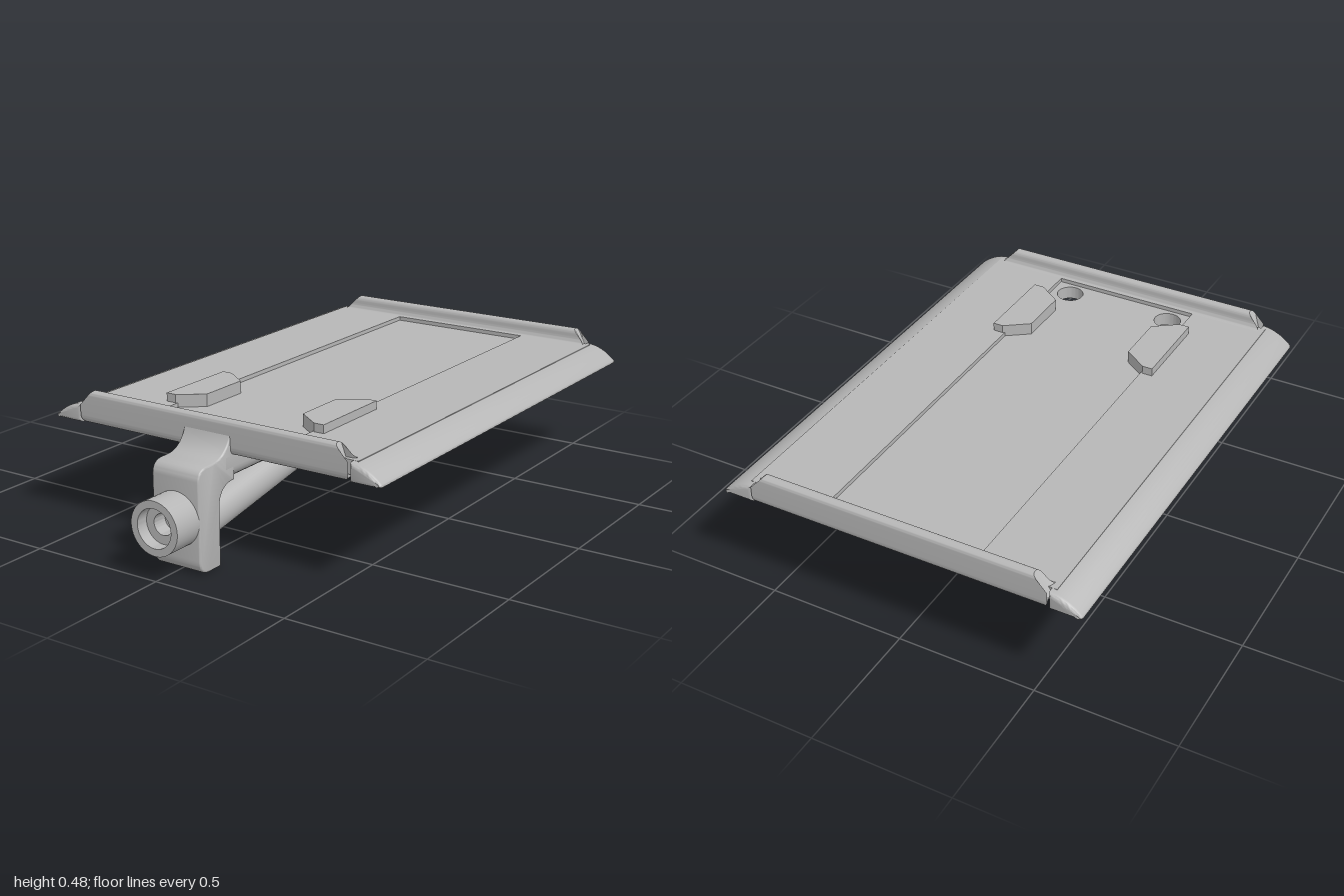
import * as THREE from 'three';
import { toCreasedNormals } from 'three/addons/utils/BufferGeometryUtils.js';

export function createModel() {
  const model = new THREE.Group();
  const grey = new THREE.MeshStandardMaterial({ color: 0xb6b6b6 });

  function add(name, geometry, parent = model) {
    const mesh = new THREE.Mesh(toCreasedNormals(geometry, 0.6), grey);
    mesh.name = name;
    parent.add(mesh);
    return mesh;
  }
  // Outline in plan (x, -z), raised from y0 to y1
  function slab(shape, y0, y1, bevel = 0) {
    const g = new THREE.ExtrudeGeometry(shape, {
      depth: y1 - y0 - 2 * bevel, curveSegments: 24, bevelEnabled: bevel > 0,
      bevelSize: bevel, bevelThickness: bevel, bevelOffset: -bevel, bevelSegments: 6,
    });
    return g.rotateX(-Math.PI / 2).translate(0, y0 + bevel, 0);
  }
  // Side profile (z, y), extruded across x and centred
  function across(shape, width, bevel = 0) {
    const g = new THREE.ExtrudeGeometry(shape, {
      depth: width - 2 * bevel, curveSegments: 12, bevelEnabled: bevel > 0,
      bevelSize: bevel, bevelThickness: bevel, bevelOffset: -bevel, bevelSegments: 3,
    });
    return g.translate(0, 0, -width / 2 + bevel).rotateY(-Math.PI / 2);
  }
  const polygon = (points) => new THREE.Shape(points.map(([x, z]) => new THREE.Vector2(x, -z)));

  // Recessed centre panel with two through holes
  const centre = polygon([[-0.285, 0.69], [0.285, 0.69], [0.285, -0.97], [-0.285, -0.97]]);
  for (const s of [-1, 1]) {
    centre.holes.push(new THREE.Path().absarc(s * 0.207, -0.595, 0.05, 0, Math.PI * 2, true));
  }
  add('centrePanel', slab(centre, 0.36, 0.41));

  // Side panels, curved edge wings and retaining clips
  for (const s of [-1, 1]) {
    const side = new THREE.Group();
    side.name = s > 0 ? 'leftSide' : 'rightSide';
    model.add(side);

    const panel = new THREE.BoxGeometry(0.285, 0.05, 1.66);
    add('sidePanel', panel.translate(s * 0.4225, 0.4, -0.14), side);

    const p = new THREE.Shape();
    p.moveTo(s * 0.548, 0.36);
    p.lineTo(s * 0.65, 0.36);
    p.quadraticCurveTo(s * 0.668, 0.36, s * 0.66, 0.372);
    p.quadraticCurveTo(s * 0.61, 0.42, s * 0.548, 0.425);
    p.closePath();
    const wing = new THREE.ExtrudeGeometry(p, {
      depth: 1.69, curveSegments: 10, bevelSize: 0.014, bevelThickness: 0.014,
      bevelOffset: -0.014, bevelSegments: 3,
    });
    // Only the ends are rounded; the middle keeps its full profile
    add('edgeWing', wing.translate(0, 0, -0.985), side);

    const clip = polygon([[0.325, 0.525], [0.325, 0.205], [0.287, 0.205],
      [0.2, 0.268], [0.2, 0.462], [0.287, 0.525]].map(([x, z]) => [s * x, z]));
    add('retainingClip', slab(clip, 0.405, 0.455), side);
  }

  // Raised end lips with sloping ends and rounded bottom corners
  const halfWidth = (y) => {
    if (y > 0.425) return 0.546 - (y - 0.425) * 0.95;
    if (y < 0.39) return 0.546 - 0.025 * (1 - Math.sqrt(Math.max(0, 1 - ((0.39 - y) / 0.03) ** 2)));
    return 0.546;
  };
  for (const front of [true, false]) {
    const outer = front ? 0.72 : -1;
    const z = (d) => (front ? outer - d : outer + d);
    const p = new THREE.Shape();
    p.moveTo(z(0.06), 0.36);
    p.lineTo(z(0.03), 0.36);
    p.quadraticCurveTo(z(0), 0.36, z(0), 0.39);
    p.lineTo(z(0), 0.425);
    p.lineTo(z(0), 0.46);
    p.quadraticCurveTo(z(0), 0.478, z(0.02), 0.478);
    p.quadraticCurveTo(z(0.04), 0.478, z(0.041), 0.455);
    p.quadraticCurveTo(z(0.042), 0.428, z(0.06), 0.425);
    p.closePath();
    const g = across(p, 1.1);
    const pos = g.attributes.position;
    for (let i = 0; i < pos.count; i++) {
      pos.setX(i, Math.sign(pos.getX(i)) * halfWidth(pos.getY(i)));
    }
    add(front ? 'frontLip' : 'backLip', g);
  }

  // Rounded support arm under the plate
  const arm = new THREE.Shape();
  arm.moveTo(-0.094, -0.745);
  arm.lineTo(0.094, -0.745);
  arm.lineTo(0.094, 0.716);
  arm.absarc(0, 0.716, 0.094, 0, Math.PI, false);
  arm.closePath();
  add('supportArm', slab(arm, 0.275, 0.405, 0.045));

  // Bent front strap
  const strap = new THREE.Shape();
  strap.moveTo(0.70, 0.275);
  strap.quadraticCurveTo(0.78, 0.275, 0.78, 0.2);
  strap.lineTo(0.78, 0);
  strap.lineTo(0.84, 0);
  strap.quadraticCurveTo(0.89, 0, 0.89, 0.05);
  strap.lineTo(0.89, 0.31);
  strap.quadraticCurveTo(0.89, 0.36, 0.84, 0.36);
  strap.lineTo(0.815, 0.36);
  strap.quadraticCurveTo(0.745, 0.36, 0.717, 0.435);
  strap.lineTo(0.70, 0.42);
  strap.closePath();
  add('frontStrap', across(strap, 0.188, 0.006));

  // Diagonal brace from strap to arm
  const a = new THREE.Vector3(0, 0.123, 0.83);
  const b = new THREE.Vector3(0, 0.337, -0.36);
  const brace = add('diagonalBrace', new THREE.CylinderGeometry(0.065, 0.065, a.distanceTo(b), 40));
  brace.position.copy(a).add(b).multiplyScalar(0.5);
  brace.quaternion.setFromUnitVectors(new THREE.Vector3(0, 1, 0), b.clone().sub(a).normalize());

  // Round boss with a stepped bore
  const boss = [[0.094, 0.87], [0.094, 1], [0.068, 1], [0.068, 0.955],
    [0.037, 0.955], [0.037, 0.9], [0, 0.9]].map(([r, y]) => new THREE.Vector2(r, y));
  add('steppedBoss', new THREE.LatheGeometry(boss, 48).rotateX(Math.PI / 2).translate(0, 0.18, 0));

  return model;
}
